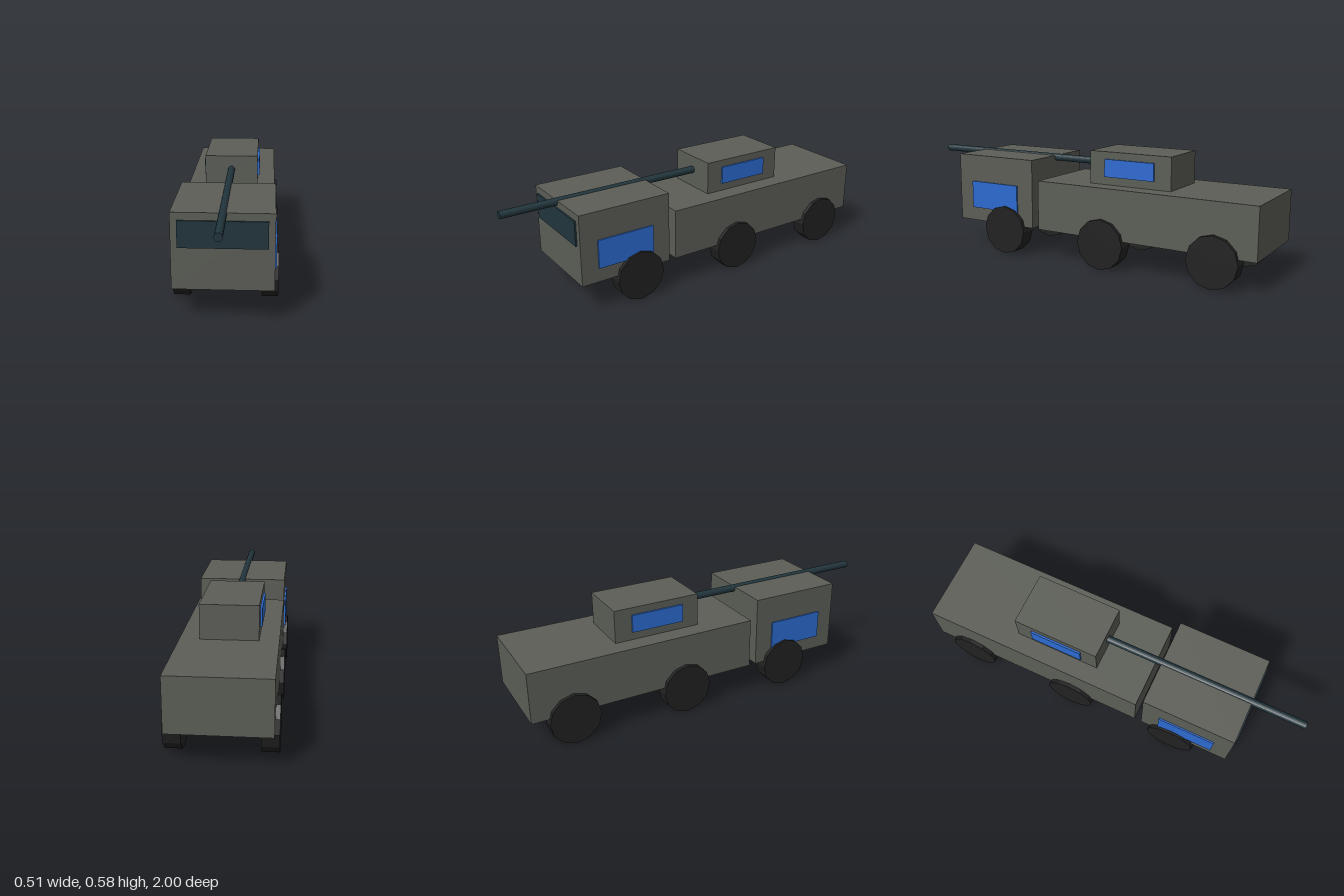
import * as THREE from 'three';

export function createModel() {
  const model = new THREE.Group();
  model.name = 'armouredTruck';

  const mat = (name, color) => {
    const m = new THREE.MeshStandardMaterial({ color, flatShading: true });
    m.name = name;
    return m;
  };
  const hull = mat('hullGrey', 0x5b5d56);
  const dark = mat('darkSteel', 0x21353c);
  const blue = mat('panelBlue', 0x2c6ad0);
  const rubber = mat('tyreBlack', 0x212121);

  const add = (name, geometry, material, x, y, z) => {
    const mesh = new THREE.Mesh(geometry, material);
    mesh.name = name;
    mesh.position.set(x, y, z);
    model.add(mesh);
    return mesh;
  };
  // Box given by its lower and upper corners
  const box = (name, material, [x0, y0, z0], [x1, y1, z1]) =>
    add(name, new THREE.BoxGeometry(x1 - x0, y1 - y0, z1 - z0), material,
      (x0 + x1) / 2, (y0 + y1) / 2, (z0 + z1) / 2);

  // Hull blocks
  box('cab', hull, [-0.233, 0.155, 0.228], [0.233, 0.518, 0.716]);
  box('rearBody', hull, [-0.233, 0.155, -1], [0.233, 0.414, 0.19]);
  box('turret', hull, [-0.139, 0.414, -0.527], [0.139, 0.582, -0.074]);

  // Windscreen plate
  box('windscreen', dark, [-0.203, 0.355, 0.715], [0.203, 0.482, 0.724]);

  // Gun barrel running forward over the cab roof
  const barrel = new THREE.CylinderGeometry(0.019, 0.019, 1.08, 16).rotateX(Math.PI / 2);
  add('gunBarrel', barrel, dark, 0, 0.508, 0.46);

  // Side panels and wheels, mirrored
  const wheel = new THREE.CylinderGeometry(0.129, 0.129, 0.08, 12).rotateZ(Math.PI / 2);
  for (const [side, s] of [['left', 1], ['right', -1]]) {
    add(side + 'DoorPanel', new THREE.BoxGeometry(0.009, 0.146, 0.302), blue, s * 0.2365, 0.301, 0.475);
    add(side + 'TurretPanel', new THREE.BoxGeometry(0.0099, 0.09, 0.276), blue, s * 0.1439, 0.5, -0.299);
    [['Front', 0.403], ['Middle', -0.193], ['Rear', -0.79]].forEach(([place, z]) =>
      add(side + place + 'Wheel', wheel, rubber, s * 0.213, 0.129, z));
  }
  return model;
}
